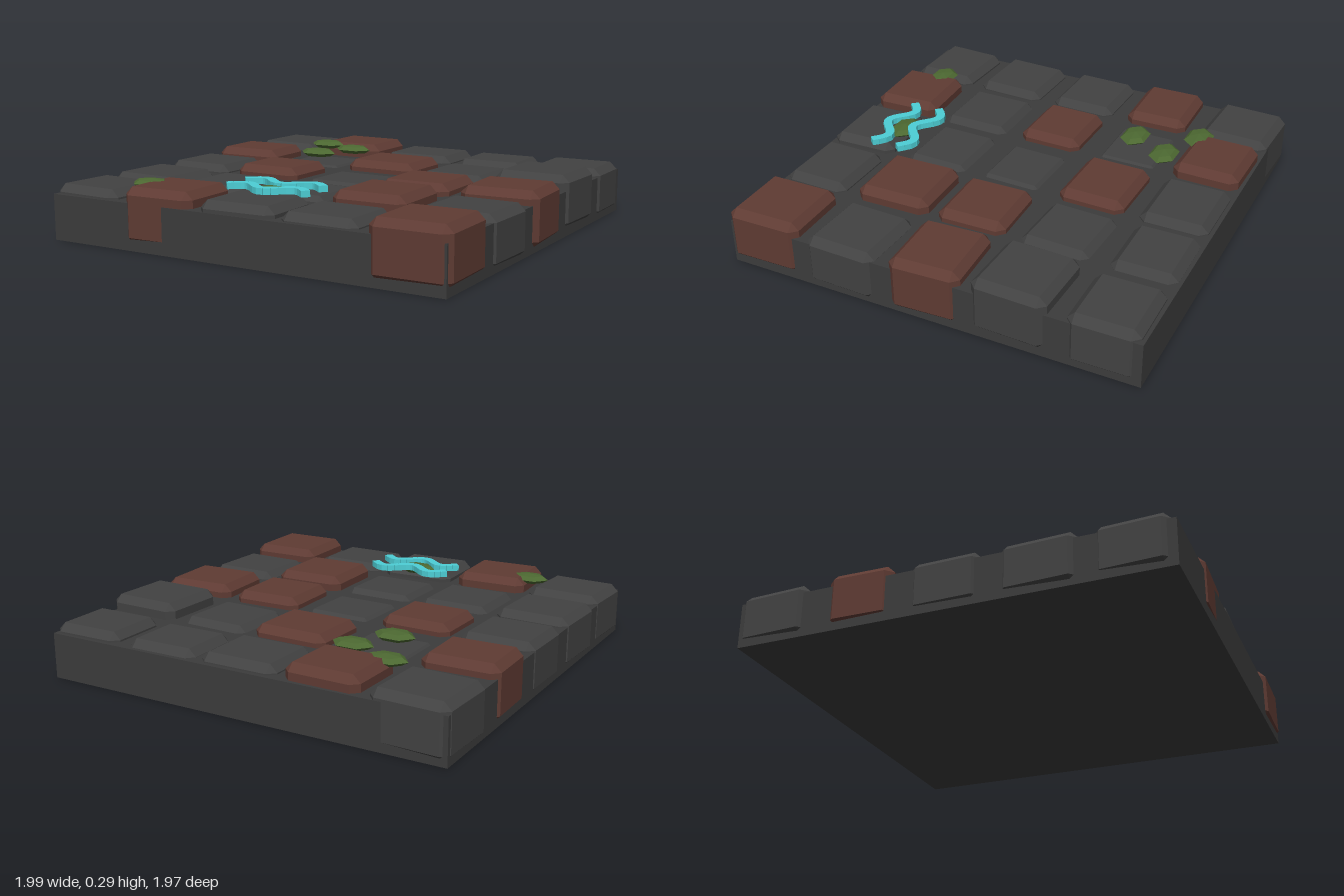
import * as THREE from 'three';
import { ConvexGeometry } from 'three/addons/geometries/ConvexGeometry.js';

const material = (name, color) => {
  const m = new THREE.MeshStandardMaterial({ color });
  m.name = name;
  return m;
};

// Box with every edge cut by a flat chamfer
function chamferBox(w, h, d, c) {
  const points = [];
  for (const sx of [-1, 1]) for (const sy of [-1, 1]) for (const sz of [-1, 1]) {
    const x = w / 2, y = h / 2, z = d / 2;
    points.push(
      new THREE.Vector3(sx * x, sy * (y - c), sz * (z - c)),
      new THREE.Vector3(sx * (x - c), sy * y, sz * (z - c)),
      new THREE.Vector3(sx * (x - c), sy * (y - c), sz * z));
  }
  return new ConvexGeometry(points);
}

// Stones, back row to front: width, depth, top height, yaw, z offset
const ROWS = [
  [[.356, .338, .255, -.04, -.015], [.351, .318, .28, -.02, -.005], [.374, .32, .25, 0, 0], [.348, .302, .245, .01, -.01], [.348, .315, .252, .01, -.005]],
  [[.355, .303, .27, .02, -.005], [.345, .315, .22, 0, -.01], [.367, .318, .265, -.02, -.01], [.345, .333, .24, -.04, -.01], [.363, .346, .283, -.03, 0]],
  [[.352, .325, .25, -.02, -.01], [.341, .308, .265, -.02, -.01], [.348, .315, .225, -.03, 0], [.341, .33, .265, .02, 0], [.363, .33, .272, .05, 0]],
  [[.36, .344, .25, -.04, 0], [.354, .345, .24, -.01, 0], [.357, .32, .235, -.02, -.01], [.352, .357, .278, .02, -.005], [.358, .342, .245, -.03, 0]],
  [[.358, .325, .252, -.05, -.01], [.35, .328, .28, .04, .005], [.364, .326, .26, .03, 0], [.36, .317, .25, -.01, 0], [.357, .356, .277, .02, 0]],
];
const RED = ['.R...', 'R.R..', '.R.RR', '...R.', '.R..R'];
const COLUMN_X = [-.81, -.408, -.002, .396, .806];

export function createModel() {
  const group = new THREE.Group();
  group.name = 'stoneFloor';
  const slabMat = material('mortar grey', 0x3c3c3c);
  const stoneMat = material('stone grey', 0x424242);
  const redMat = material('brick red', 0x5f3b33);
  const mossMat = material('moss green', 0x4c6831);
  const runeMat = material('glowing cyan', 0x4dcfd6);

  const add = (name, geometry, mat, x, y, z, parent = group) => {
    const mesh = new THREE.Mesh(geometry, mat);
    mesh.name = name;
    mesh.position.set(x, y, z);
    parent.add(mesh);
    return mesh;
  };

  // Base slab
  add('baseSlab', new THREE.BoxGeometry(1.951, .21, 1.947), slabMat, -.004, .105, -.006);

  // Paving stones
  ROWS.forEach((row, r) => row.forEach(([w, d, top, yaw, dz], c) => {
    const bottom = Math.max(.01, top - .255);
    const red = RED[r][c] === 'R';
    const stone = add(red ? 'redStone' : 'greyStone',
      chamferBox(w, top - bottom, d, .034), red ? redMat : stoneMat,
      COLUMN_X[c], (top + bottom) / 2, (r - 2) * .4 + dz);
    stone.rotation.y = yaw;
  }));

  // Moss clumps: flattened six-sided blobs
  const mossGeo = new THREE.SphereGeometry(1, 6, 4).toNonIndexed();
  mossGeo.scale(.1, .024, .07);
  mossGeo.computeVertexNormals();
  for (const [x, z] of [[-.55, -.67], [-.335, -.57], [-.435, -.385], [-.01, .66], [-.58, .77]]) {
    add('mossClump', mossGeo, mossMat, x, .264, z);
  }

  // Two wavy strips made of short blocks
  const blockGeo = new THREE.BoxGeometry(.032, .028, .04);
  const k = 3 * Math.PI / .38, amplitude = .037, count = 17;
  for (const z0 of [.572, .71]) {
    const wave = new THREE.Group();
    wave.name = 'waveStrip';
    group.add(wave);
    for (let i = 0; i < count; i++) {
      const x = .38 * (i / (count - 1) - .5);
      const phase = k * (x + .19);
      const block = add('waveBlock', blockGeo, runeMat, x - .003, .281, z0 - amplitude * Math.sin(phase), wave);
      block.rotation.y = Math.atan(amplitude * k * Math.cos(phase));
    }
  }
  return group;
}
